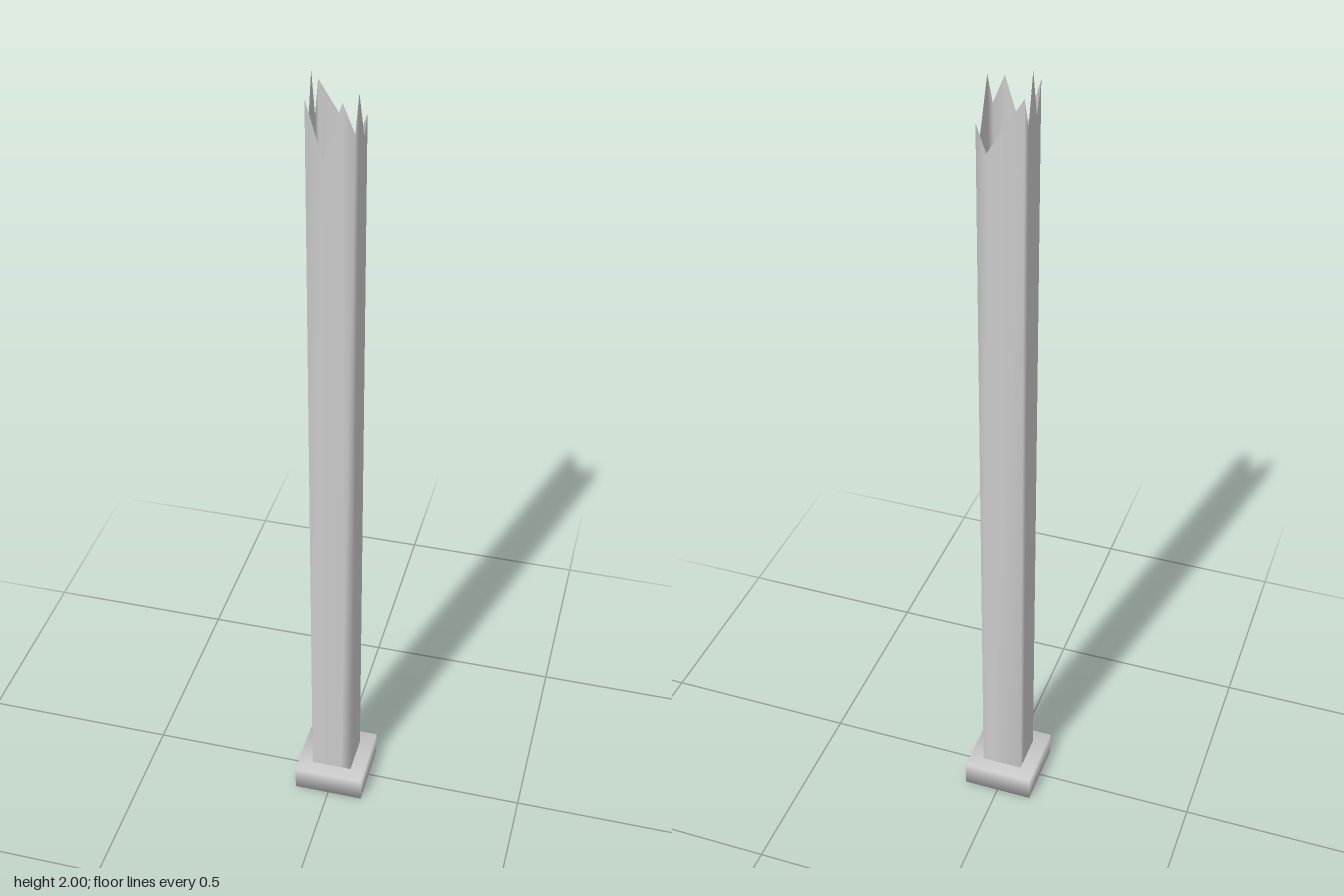
import * as THREE from 'three';
import { mergeVertices } from 'three/addons/utils/BufferGeometryUtils.js';

const R = 0.0525;      // half width of the post
const BASE_H = 0.065;  // plinth height

// Box whose corners share softened normals
function softBox(w, h, d) {
  const box = new THREE.BoxGeometry(w, h, d);
  box.deleteAttribute('normal');
  box.deleteAttribute('uv');
  const geometry = mergeVertices(box);
  geometry.computeVertexNormals();
  return geometry;
}

// Hollow square tube with a broken rim, given as [x, y, z] points around the top
function brokenTube(rim, bottom) {
  const positions = [], indices = [], n = rim.length;
  rim.forEach(([x, y, z], i) => {
    positions.push(x, bottom, z, x, y, z);
    const a = 2 * i, b = 2 * ((i + 1) % n);
    indices.push(a, b, b + 1, a, b + 1, a + 1);
  });
  const geometry = new THREE.BufferGeometry();
  geometry.setAttribute('position', new THREE.Float32BufferAttribute(positions, 3));
  geometry.setIndex(indices);
  geometry.computeVertexNormals();
  return geometry;
}

export function createModel() {
  const group = new THREE.Group();
  group.name = 'brokenPost';
  const material = new THREE.MeshStandardMaterial({ color: 0xcccccc, side: THREE.DoubleSide });

  // Square plinth
  const base = new THREE.Mesh(softBox(0.18, BASE_H, 0.18), material);
  base.name = 'base';
  base.position.y = BASE_H / 2;
  group.add(base);

  // Splintered rim: front, right, back and left walls in turn
  const rim = [
    [-R, 1.96, R], [-0.015, 1.83, R], [0.026, 1.96, R],
    [R, 1.895, R], [R, 1.97, 0.02], [R, 1.855, -0.027],
    [R, 1.895, -R], [0.03, 1.83, -R],
    [-R, 1.96, -R], [-R, 1.89, -0.027], [-R, 2.0, 0], [-R, 1.89, 0.027],
  ];
  const post = new THREE.Mesh(brokenTube(rim, BASE_H), material);
  post.name = 'post';
  group.add(post);

  return group;
}
